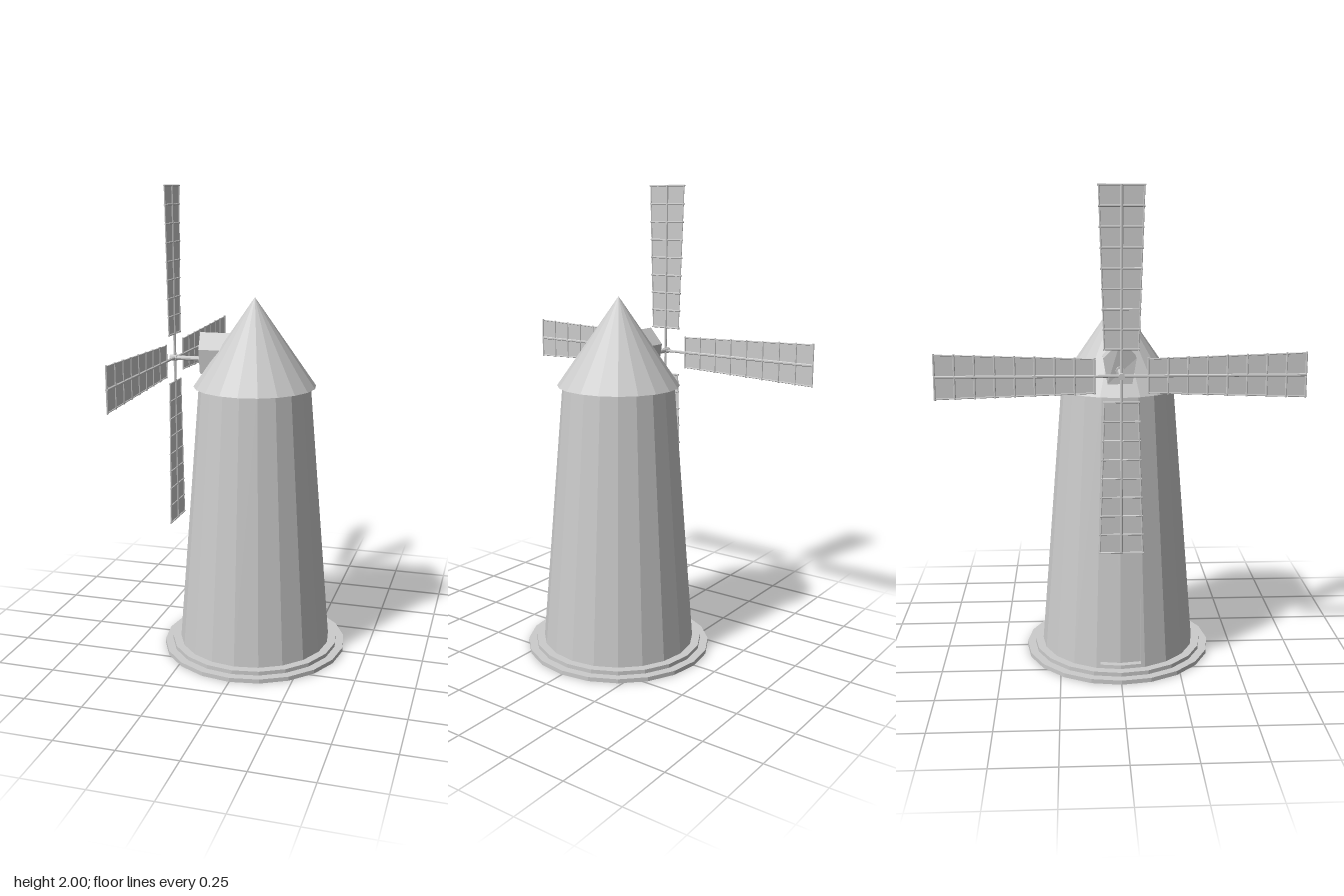
import * as THREE from 'three';

const SIDES = 20;
const Y0 = 0.035, Y1 = 1.18, R0 = 0.33, R1 = 0.237;
const HUB_Y = 1.275, SAIL_X = -0.357;
const mat = new THREE.MeshStandardMaterial({ color: 0xcccccc, flatShading: true });
const thin = new THREE.MeshStandardMaterial({ color: 0xcccccc, flatShading: true, side: THREE.DoubleSide });

function add(parent, name, geometry, material = mat) {
  const mesh = new THREE.Mesh(geometry, material);
  mesh.name = name;
  parent.add(mesh);
  return mesh;
}

// Point on the two tower facets that hold the doorway, pushed inward by depth
function onWall(z, y, depth = 0) {
  const r = R0 + (R1 - R0) * (y - Y0) / (Y1 - Y0);
  return [-(r - Math.abs(z) * Math.tan(Math.PI / SIDES)) + depth, y, z];
}

// Lay a flat (z, y) shape onto those facets
function wallGeometry(points, depth = 0) {
  const shape = new THREE.Shape(points.map(([z, y]) => new THREE.Vector2(z, y)));
  const geometry = new THREE.ShapeGeometry(shape);
  const p = geometry.attributes.position;
  for (let i = 0; i < p.count; i++) p.setXYZ(i, ...onWall(p.getX(i), p.getY(i), depth));
  geometry.computeVertexNormals();
  return geometry;
}

// Lathe-like bar along x
function barX(parent, name, x0, x1, r0, r1) {
  const geometry = new THREE.CylinderGeometry(r1, r0, x1 - x0, 10).rotateZ(-Math.PI / 2);
  add(parent, name, geometry).position.set((x0 + x1) / 2, HUB_Y, 0);
}

// Round bar between two points
function rod(parent, name, a, b, radius) {
  const from = new THREE.Vector3(...a), to = new THREE.Vector3(...b);
  const mesh = add(parent, name, new THREE.CylinderGeometry(radius, radius, from.distanceTo(to), 6));
  mesh.position.copy(from).add(to).multiplyScalar(0.5);
  mesh.quaternion.setFromUnitVectors(new THREE.Vector3(0, 1, 0), to.sub(from).normalize());
}

function makeTower() {
  const tower = new THREE.Group();
  tower.name = 'tower';
  // All facets except the two with the doorway
  const step = 2 * Math.PI / SIDES;
  add(tower, 'towerWall', new THREE.CylinderGeometry(R1, R0, Y1 - Y0, SIDES - 2, 1, true,
    1.5 * Math.PI + step, 2 * Math.PI - 2 * step)).position.y = (Y0 + Y1) / 2;

  // Doorway with a shallow arch, sunk into the wall
  const halfWidth = 0.085, sill = 0.05, spring = 0.325, rise = 0.05, depth = 0.025;
  for (const s of [1, -1]) {
    const opening = [];
    for (let i = 0; i <= 6; i++) {
      const a = i / 6 * Math.PI / 2;
      opening.push([s * halfWidth * Math.sin(a), spring + rise * Math.cos(a)]);
    }
    opening.push([s * halfWidth, sill], [0, sill]);
    const edge = Math.sin(step);
    add(tower, 'doorWall', wallGeometry([[0, Y1], ...opening, [0, Y0], [s * R0 * edge, Y0], [s * R1 * edge, Y1]]));
    add(tower, 'door', wallGeometry(opening, depth));
    const pos = [], index = [];
    opening.forEach(([z, y], i) => {
      pos.push(...onWall(z, y), ...onWall(z, y, depth));
      if (i) index.push(2 * i - 2, 2 * i - 1, 2 * i, 2 * i, 2 * i - 1, 2 * i + 1);
    });
    const reveal = new THREE.BufferGeometry();
    reveal.setAttribute('position', new THREE.Float32BufferAttribute(pos, 3));
    reveal.setIndex(index);
    reveal.computeVertexNormals();
    add(tower, 'doorReveal', reveal, thin);
  }
  return tower;
}

// Gabled housing for the shaft, its gable leaning outward above the eaves
function makeDormer(parent) {
  const eave = 1.325, front = -0.228, length = 0.2;
  const profile = [[-0.05, 1.22], [0.05, 1.22], [0.067, eave], [0, 1.39], [-0.067, eave]];
  const geometry = new THREE.ExtrudeGeometry(
    new THREE.Shape(profile.map(([z, y]) => new THREE.Vector2(z, y))), { depth: length, bevelEnabled: false });
  geometry.rotateY(-Math.PI / 2);
  geometry.translate(front + length, 0, 0);
  const p = geometry.attributes.position;
  for (let i = 0; i < p.count; i++) {
    if (p.getX(i) < front + 0.01) p.setX(i, front - Math.max(0, p.getY(i) - eave) * 0.2);
  }
  geometry.computeVertexNormals();
  add(parent, 'dormer', geometry);
}

// One sail pointing up, lying in the y-z plane
function makeSail() {
  const sail = new THREE.Group();
  sail.name = 'sail';
  const inner = 0.1, outer = 0.722;
  const half = (r) => 0.066 + 0.02 * (r - inner) / (outer - inner);
  const cloth = new THREE.Shape([[-1, inner], [1, inner], [1, outer], [-1, outer]]
    .map(([s, r]) => new THREE.Vector2(s * half(r), r)));
  add(sail, 'sailCloth', new THREE.ShapeGeometry(cloth).rotateY(Math.PI / 2), thin);
  rod(sail, 'sailSpar', [0, 0, 0], [0, outer, 0], 0.006);
  for (const s of [-1, 1]) {
    rod(sail, 'sailEdge', [0, inner, s * half(inner)], [0, outer, s * half(outer)], 0.003);
  }
  for (let i = 0; i < 9; i++) {
    const r = inner + 0.004 + i * (outer - inner - 0.006) / 8;
    const w = half(r) + 0.005;
    rod(sail, 'sailLath', [0, r, -w], [0, r, w], 0.004);
  }
  return sail;
}

export function createModel() {
  const model = new THREE.Group();
  model.name = 'windmill';

  // Stepped base
  [[0.4, 0, 0.018], [0.365, 0.018, Y0]].forEach(([r, a, b]) => {
    add(model, 'baseStep', new THREE.CylinderGeometry(r, r, b - a, SIDES)).position.y = (a + b) / 2;
  });

  model.add(makeTower());

  // Conical roof
  add(model, 'roof', new THREE.ConeGeometry(0.26, 0.375, SIDES)).position.y = 1.17 + 0.375 / 2;
  makeDormer(model);

  // Shaft, collar and hub
  barX(model, 'shaft', -0.36, -0.2, 0.009, 0.012);
  barX(model, 'shaftCollar', -0.247, -0.226, 0.018, 0.018);
  barX(model, 'hub', -0.378, -0.348, 0.013, 0.013);

  // Four sails
  const rotor = new THREE.Group();
  rotor.name = 'rotor';
  rotor.position.set(SAIL_X, HUB_Y, 0);
  for (let i = 0; i < 4; i++) {
    const sail = makeSail();
    sail.rotation.x = i * Math.PI / 2;
    rotor.add(sail);
  }
  model.add(rotor);
  return model;
}
